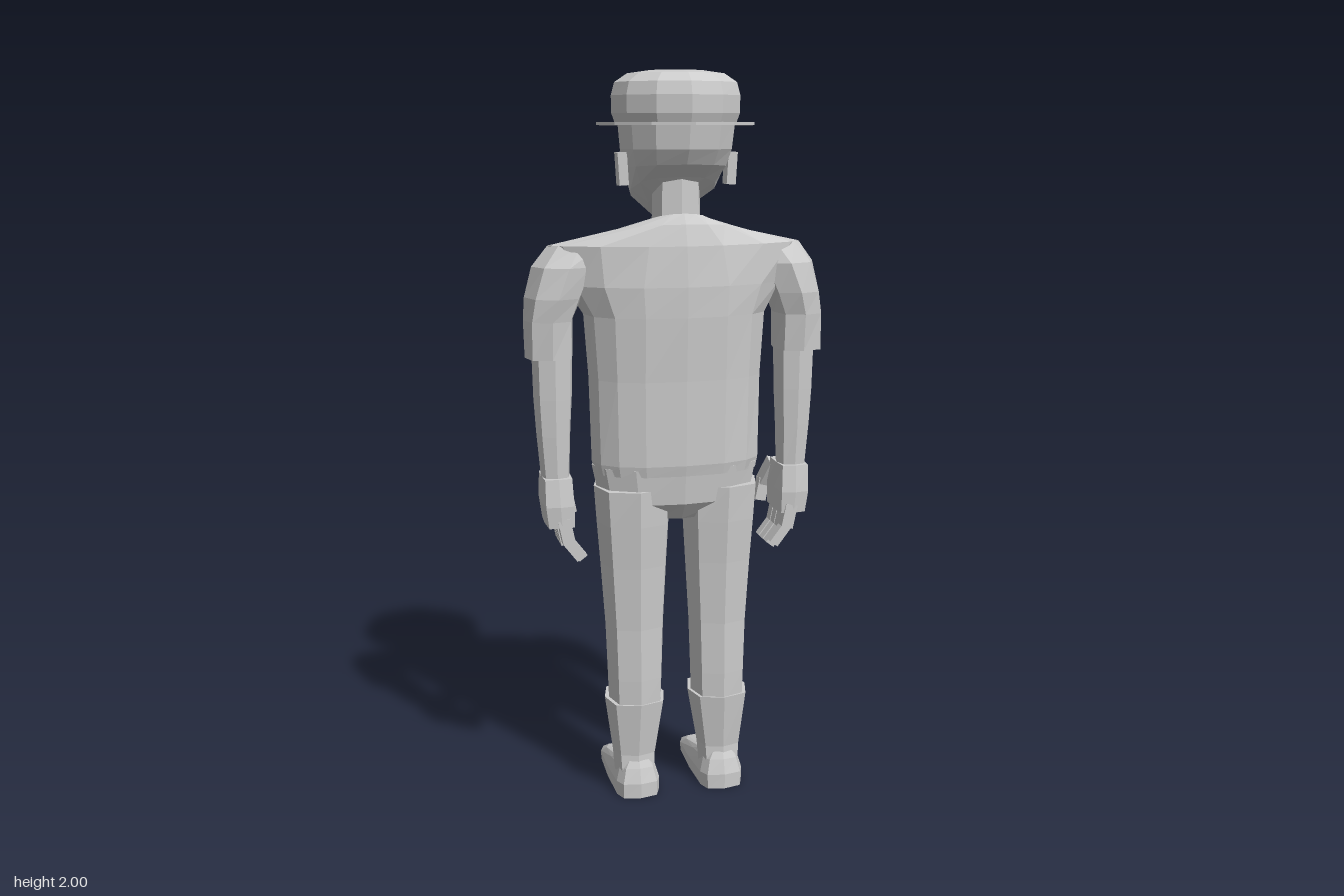
import * as THREE from 'three';

const grey = new THREE.MeshStandardMaterial({ color: 0xcccccc, flatShading: true });
grey.name = 'light grey';

// Closed loft through horizontal rings, listed bottom to top.
// Ring: [y, cx, cz, rx, rz, power, tilt]; a low power is boxy, a high one lens-shaped,
// and tilt raises the +z side of the ring.
function loft(rings, n) {
  const pos = [], index = [];
  const shape = (v, p) => (Math.abs(v) < 1e-6 ? 0 : Math.sign(v) * Math.abs(v) ** p);
  for (const [y, cx, cz, rx, rz, p = 1, tilt = 0] of rings) {
    for (let i = 0; i < n; i++) {
      const a = (i / n) * Math.PI * 2, s = shape(Math.sin(a), p);
      pos.push(cx + rx * shape(Math.cos(a), p), y + tilt * s, cz + rz * s);
    }
  }
  const top = (rings.length - 1) * n;
  for (let r = 0; r < top; r += n) {
    for (let i = 0; i < n; i++) {
      const j = (i + 1) % n;
      index.push(r + i, r + n + i, r + j, r + j, r + n + i, r + n + j);
    }
  }
  for (let i = 1; i < n - 1; i++) index.push(0, i, i + 1, top, top + i + 1, top + i);
  const g = new THREE.BufferGeometry();
  g.setAttribute('position', new THREE.Float32BufferAttribute(pos, 3));
  g.setIndex(index);
  const flat = g.toNonIndexed();
  flat.computeVertexNormals();
  return flat;
}

export function createModel() {
  const model = new THREE.Group();
  model.name = 'standingMan';

  const add = (name, geometry, parent = model) => {
    const mesh = new THREE.Mesh(geometry, grey);
    mesh.name = name;
    parent.add(mesh);
    return mesh;
  };
  const box = (name, size, at, rot = [0, 0, 0], parent = model) => {
    const mesh = add(name, new THREE.BoxGeometry(...size), parent);
    mesh.position.set(...at);
    mesh.rotation.set(...rot);
    return mesh;
  };

  // Shirt body with sloping shoulders
  add('shirt', loft([
    [0.94, 0, 0.005, 0.228, 0.12, 0.8],
    [0.97, 0, 0.003, 0.234, 0.128, 0.8],
    [1.2, 0, -0.007, 0.238, 0.143, 0.8],
    [1.37, 0, -0.006, 0.25, 0.151, 0.85],
    [1.45, 0, -0.004, 0.3, 0.15, 1],
    [1.555, 0, 0.015, 0.345, 0.122, 1.3],
    [1.595, 0, 0.02, 0.16, 0.1, 1, 0.015],
    [1.615, 0, 0.02, 0.08, 0.082, 1, 0.022],
  ], 16));
  add('collar', loft([
    [1.585, 0, 0.02, 0.095, 0.085, 1, 0.022],
    [1.61, 0, 0.02, 0.075, 0.08, 1, 0.025],
  ], 12));
  add('hips', loft([
    [0.81, 0, 0.008, 0.12, 0.07],
    [0.86, 0, 0.008, 0.215, 0.108, 0.8],
    [0.96, 0, 0.005, 0.235, 0.122, 0.8],
  ], 12));

  // Neck and head, the jaw line sloping down to the chin
  add('neck', loft([
    [1.56, 0, 0.015, 0.068, 0.065, 0.8],
    [1.74, 0, 0.015, 0.063, 0.06, 0.8],
  ], 8));
  add('head', loft([
    [1.66, 0, -0.03, 0.065, 0.088, 0.9, 0.045],
    [1.695, 0, -0.022, 0.115, 0.103, 0.85, 0.035],
    [1.75, 0, -0.005, 0.136, 0.135, 0.85, 0.012],
    [1.8, 0, 0.004, 0.148, 0.15, 0.85],
    [1.87, 0, 0.008, 0.155, 0.158, 0.85],
  ], 12));

  // Face
  add('nose', loft([
    [1.725, 0, -0.135, 0.028, 0.025],
    [1.742, 0, -0.142, 0.034, 0.03],
    [1.78, 0, -0.14, 0.018, 0.022],
    [1.82, 0, -0.142, 0.014, 0.012],
  ], 8));
  box('upperLip', [0.075, 0.014, 0.03], [0, 1.703, -0.118]);
  box('lowerLip', [0.06, 0.012, 0.03], [0, 1.682, -0.115]);
  add('chin', loft([
    [1.618, 0, -0.11, 0.035, 0.018, 0.8],
    [1.645, 0, -0.105, 0.048, 0.028, 0.8],
    [1.665, 0, -0.1, 0.035, 0.02, 0.8],
  ], 8));
  for (const s of [1, -1]) {
    box('brow', [0.07, 0.022, 0.03], [s * 0.055, 1.825, -0.133], [0, s * -0.22, s * 0.12]);
    box('eye', [0.045, 0.016, 0.02], [s * 0.052, 1.79, -0.128], [0, s * -0.22, 0]);
    box('cheek', [0.05, 0.025, 0.03], [s * 0.068, 1.755, -0.112], [0, s * -0.5, 0]);
    box('ear', [0.025, 0.085, 0.042], [s * 0.147, 1.75, 0.018], [0, 0, s * -0.06]);
  }

  // Round hat with a thin brim
  add('hatBrim', loft([
    [1.86, 0, 0.01, 0.212, 0.205],
    [1.868, 0, 0.01, 0.212, 0.205],
  ], 12));
  add('hatCrown', loft([
    [1.865, 0, 0.013, 0.163, 0.158],
    [1.89, 0, 0.013, 0.172, 0.167],
    [1.935, 0, 0.013, 0.173, 0.168],
    [1.968, 0, 0.013, 0.164, 0.158],
    [1.99, 0, 0.013, 0.13, 0.127],
    [1.998, 0, 0.013, 0.075, 0.072],
    [2, 0, 0.013, 0.015, 0.015],
  ], 12));

  for (const s of [1, -1]) {
    const side = s > 0 ? 'left' : 'right';

    // Arm with short sleeve
    const arm = new THREE.Group();
    arm.name = side + 'Arm';
    model.add(arm);
    add('sleeve', loft([
      [1.26, s * 0.346, 0, 0.064, 0.073, 0.6],
      [1.36, s * 0.346, -0.003, 0.066, 0.085, 0.75],
      [1.42, s * 0.33, -0.003, 0.078, 0.095, 0.9],
      [1.5, s * 0.3, 0.003, 0.088, 0.085, 1],
      [1.555, s * 0.265, 0.01, 0.08, 0.045, 1],
    ], 8), arm);
    add('forearm', loft([
      [0.92, s * 0.335, 0.003, 0.038, 0.045, 0.7],
      [1.05, s * 0.338, 0.003, 0.046, 0.052, 0.7],
      [1.15, s * 0.338, 0.003, 0.052, 0.056, 0.7],
      [1.3, s * 0.338, 0.003, 0.055, 0.06, 0.7],
    ], 8), arm);

    // Hand with four fingers curled inward and a thumb
    add('palm', loft([
      [0.8, s * 0.328, -0.004, 0.038, 0.07, 0.25],
      [0.86, s * 0.332, -0.005, 0.042, 0.075, 0.25],
      [0.935, s * 0.334, -0.002, 0.04, 0.062, 0.25],
    ], 8), arm);
    for (let i = 0; i < 4; i++) {
      const z = 0.051 - i * 0.036, drop = i === 0 ? 0.012 : 0;
      box('fingerBase', [0.034, 0.068, 0.031], [s * 0.316, 0.778 + drop, z], [0, 0, s * -0.2], arm);
      box('fingerTip', [0.027, 0.062, 0.029], [s * 0.29, 0.725 + drop, z], [0, 0, s * -0.65], arm);
    }
    box('thumbBase', [0.042, 0.075, 0.04], [s * 0.305, 0.885, -0.085], [0.4, 0, s * -0.3], arm);
    box('thumbTip', [0.032, 0.065, 0.032], [s * 0.284, 0.832, -0.1], [0, 0, s * -0.2], arm);

    // Trouser leg, boot shaft and foot
    const leg = new THREE.Group();
    leg.name = side + 'Leg';
    model.add(leg);
    add('trouserLeg', loft([
      [0.26, s * 0.12, 0.013, 0.075, 0.083, 0.75],
      [0.35, s * 0.12, 0.014, 0.078, 0.084, 0.75],
      [0.5, s * 0.12, 0.012, 0.083, 0.086, 0.75],
      [0.68, s * 0.121, 0.01, 0.094, 0.096, 0.75],
      [0.8, s * 0.122, 0.01, 0.102, 0.105, 0.75],
      [0.9, s * 0.124, 0.006, 0.106, 0.115, 0.75],
    ], 8), leg);
    add('bootShaft', loft([
      [0.06, s * 0.124, 0.02, 0.058, 0.064, 0.7],
      [0.12, s * 0.124, 0.014, 0.062, 0.066, 0.7],
      [0.28, s * 0.121, 0.01, 0.086, 0.09, 0.7],
    ], 8), leg);
    add('foot', loft([
      [0, s * 0.123, -0.058, 0.065, 0.16, 0.45],
      [0.033, s * 0.123, -0.058, 0.066, 0.16, 0.45, 0.01],
      [0.065, s * 0.123, -0.045, 0.055, 0.135, 0.5, 0.02],
      [0.09, s * 0.123, 0.01, 0.045, 0.07, 0.7, 0.015],
    ], 12), leg);
  }
  return model;
}
